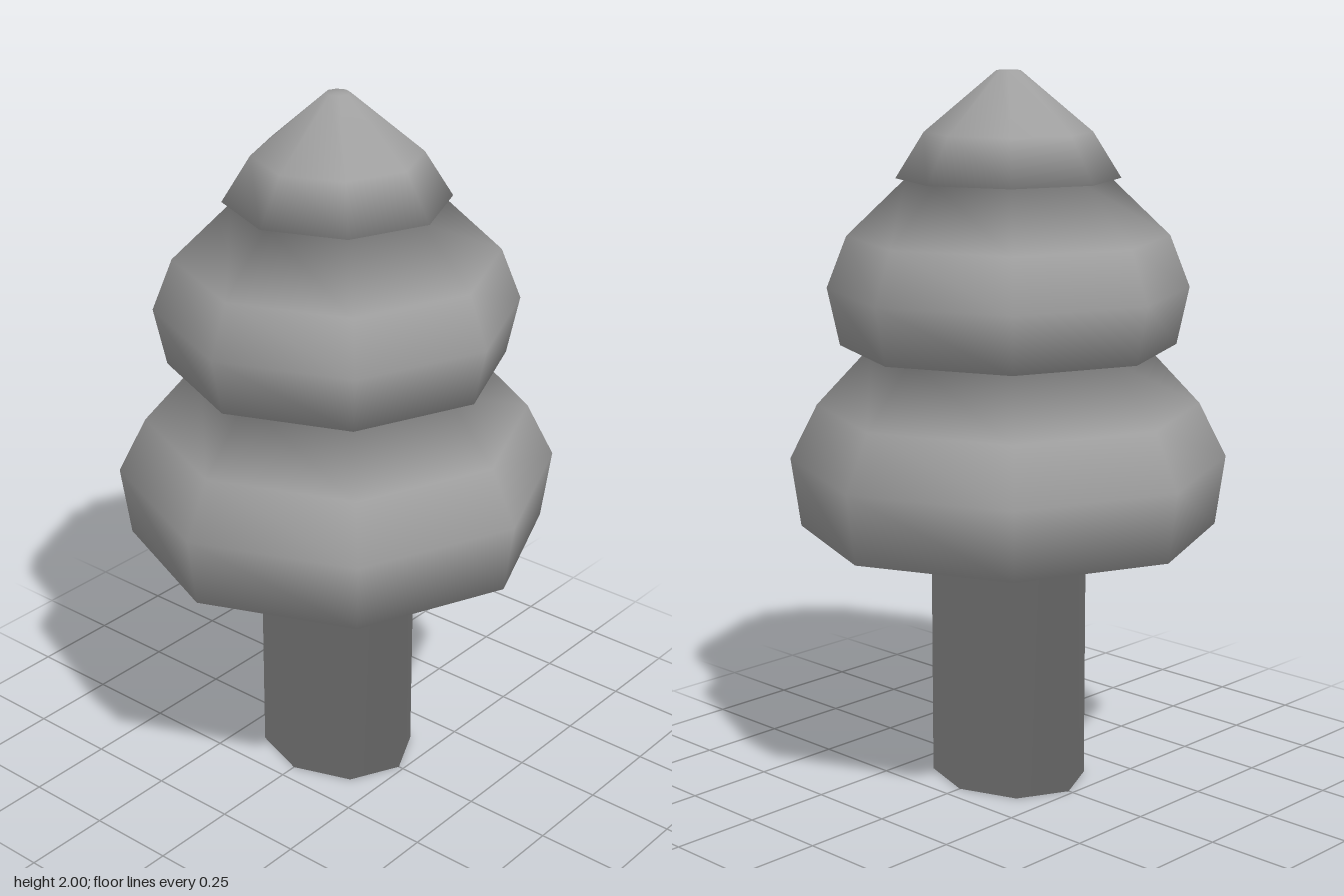
import * as THREE from 'three';

const SIDES = 8;
const TRUNK_DEPTH = 0.85; // the trunk is oval: narrower along z

// Outline from the bottom centre to the tip: [radius, height, depth scale]
const PROFILE = [
  [0, 0, TRUNK_DEPTH], [0.235, 0, TRUNK_DEPTH], [0.235, 0.73, TRUNK_DEPTH], // trunk
  [0.583, 0.735], [0.61, 0.93], [0.533, 1.083], [0.378, 1.25],              // lower tier
  [0.466, 1.25], [0.5, 1.41], [0.444, 1.553], [0.28, 1.71],                 // middle tier
  [0.308, 1.71], [0.23, 1.835], [0.033, 2], [0, 2],                         // top tier
];

// Unit outward normal of the outline segment that starts at point i
function segmentNormal(points, i) {
  const d = points[i + 1].clone().sub(points[i]).normalize();
  return new THREE.Vector2(d.y, -d.x);
}

// Revolve the outline; each ring's normal is the even blend of the slopes above and below it
function revolve(profile, sides) {
  const points = profile.map(([r, y]) => new THREE.Vector2(r, y));
  const last = points.length - 1;
  const normals = points.map((p, i) => {
    if (i === 0) return new THREE.Vector2(0, -1);
    if (i === last) return new THREE.Vector2(0, 1);
    return segmentNormal(points, i - 1).add(segmentNormal(points, i)).normalize();
  });

  const geometry = new THREE.LatheGeometry(points, sides);
  const position = geometry.attributes.position;
  const normal = new THREE.Vector3();
  for (let v = 0; v < position.count; v++) {
    const ring = v % points.length;
    const angle = Math.floor(v / points.length) / sides * Math.PI * 2;
    const depth = profile[ring][2] ?? 1;
    const n = normals[ring];
    position.setZ(v, position.getZ(v) * depth);
    normal.set(n.x * Math.sin(angle), n.y, n.x * Math.cos(angle) / depth).normalize();
    geometry.attributes.normal.setXYZ(v, normal.x, normal.y, normal.z);
  }
  return geometry;
}

export function createModel() {
  const model = new THREE.Group();
  model.name = 'tree';

  // Trunk and three foliage tiers form one continuous smooth-shaded solid
  const material = new THREE.MeshStandardMaterial({ color: 0xa0a0a0 });
  const tree = new THREE.Mesh(revolve(PROFILE, SIDES), material);
  tree.name = 'trunkAndFoliage';
  model.add(tree);

  return model;
}
